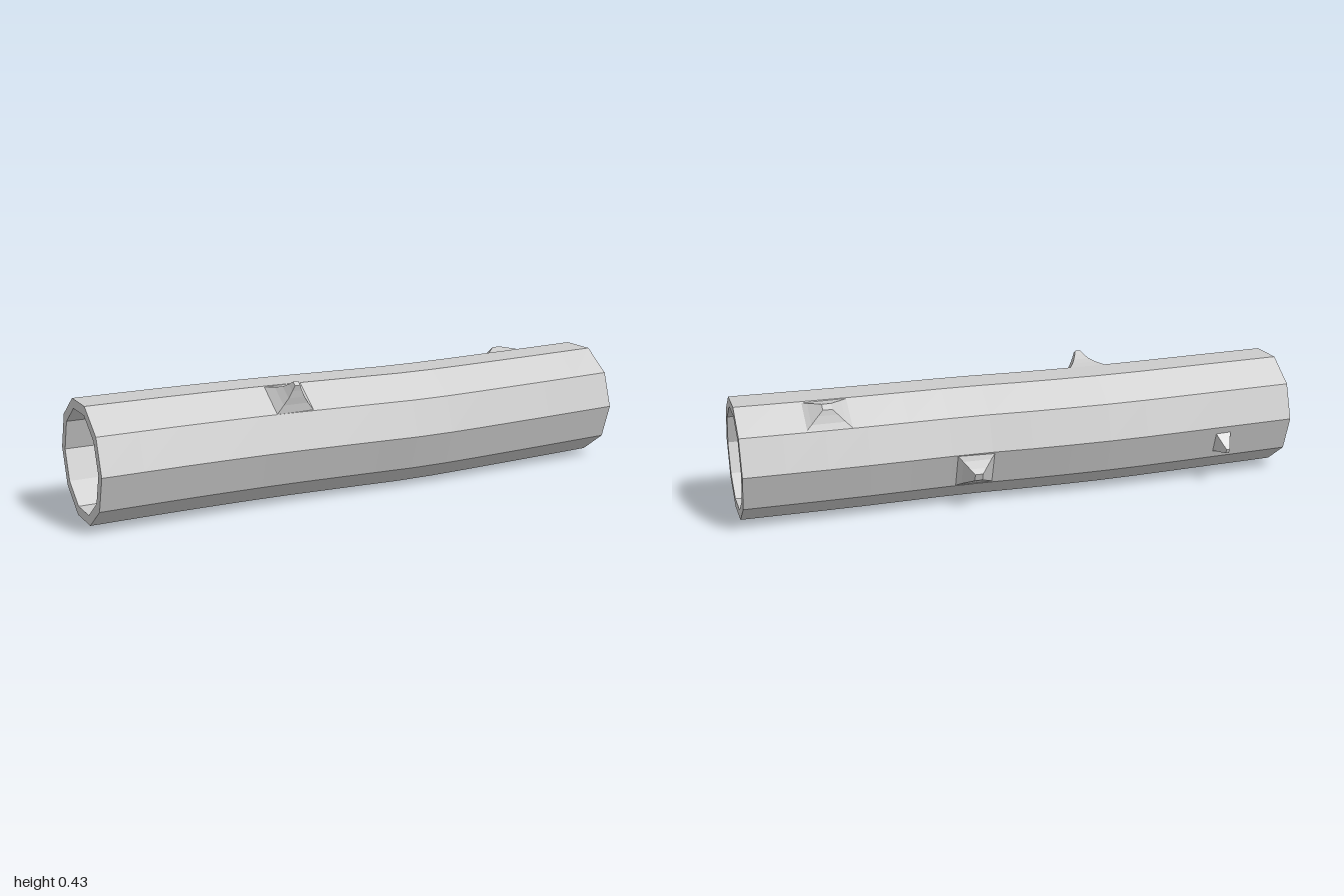
import * as THREE from 'three';

const SIDES = 10, OUTER = 0.21, INNER = 0.176;
const material = new THREE.MeshStandardMaterial({ color: 0xcccccc, flatShading: true });

// Gently wandering centreline of the log
const centreline = new THREE.CatmullRomCurve3([
  [-1, 0.21, 0.012], [-0.7, 0.208, 0.004], [-0.35, 0.204, 0], [-0.05, 0.201, 0.012],
  [0.2, 0.2, 0.027], [0.6, 0.202, 0.019], [1, 0.207, 0.012],
].map(p => new THREE.Vector3(...p)));

// Centre of the log at a given x
function centreAt(x) {
  let lo = 0, hi = 1;
  for (let i = 0; i < 30; i++) {
    const mid = (lo + hi) / 2;
    if (centreline.getPoint(mid).x < x) lo = mid; else hi = mid;
  }
  return centreline.getPoint(lo);
}

// Joins equal rings of points into a skin, optionally capping the last four-sided ring
function loft(name, rings, capEnd = false) {
  const n = rings[0].length, index = [];
  for (let i = 0; i < rings.length - 1; i++) {
    for (let j = 0; j < n; j++) {
      const a = i * n + j, b = i * n + (j + 1) % n;
      index.push(a, a + n, b + n, a, b + n, b);
    }
  }
  if (capEnd) {
    const k = (rings.length - 1) * n;
    index.push(k, k + 2, k + 1, k, k + 3, k + 2);
  }
  const geometry = new THREE.BufferGeometry().setFromPoints(rings.flat());
  geometry.setIndex(index);
  const flat = geometry.toNonIndexed();
  flat.computeVertexNormals();
  const mesh = new THREE.Mesh(flat, material);
  mesh.name = name;
  return mesh;
}

// Ten-sided ring around the centreline
function ringAt(x, radius) {
  const c = centreAt(x);
  return Array.from({ length: SIDES }, (_, j) => {
    const a = j * 2 * Math.PI / SIDES;
    return new THREE.Vector3(x, c.y + radius * Math.sin(a), c.z + radius * Math.cos(a));
  });
}

// Broken branch stub flaring out of one flat side of the log
function stub(name, { x, degrees, height, halfX, halfT, lean, profile }) {
  const a = THREE.MathUtils.degToRad(degrees);
  const normal = new THREE.Vector3(0, Math.sin(a), Math.cos(a));
  const across = new THREE.Vector3(0, Math.cos(a), -Math.sin(a));
  const base = centreAt(x).addScaledVector(normal, OUTER * Math.cos(Math.PI / SIDES) - 0.002);
  base.x = x;
  const rings = profile.map(([h, s]) =>
    [[1, 1], [1, -1], [-1, -1], [-1, 1]].map(([sx, st]) => {
      const p = base.clone()
        .addScaledVector(normal, h * height)
        .addScaledVector(across, st * s * halfT + lean * Math.min(1, h * 1.8));
      p.x += sx * s * halfX;
      return p;
    }));
  return loft(name, rings, true);
}

export function createModel() {
  const log = new THREE.Group();
  log.name = 'hollowLog';

  // Outer bark, end rims and inner wall as one closed skin
  const xs = Array.from({ length: 15 }, (_, i) => -1 + i / 7);
  log.add(loft('trunk', [
    ...xs.map(x => ringAt(x, OUTER)),
    ...[...xs].reverse().map(x => ringAt(x, INNER)),
    ringAt(-1, OUTER),
  ]));

  // Branch stubs: [height, width] fractions give the concave flare
  const flare = [[0, 1], [0.3, 0.65], [0.55, 0.42], [0.8, 0.25], [1, 0.14]];
  const low = [[0, 1], [0.3, 0.72], [0.7, 0.42], [1, 0.2]];
  log.add(
    stub('frontStub', { x: -0.3, degrees: 54, height: 0.09, halfX: 0.07, halfT: 0.065, lean: -0.012, profile: flare }),
    stub('upperBackStub', { x: 0.7, degrees: 126, height: 0.042, halfX: 0.08, halfT: 0.063, lean: -0.004, profile: low }),
    stub('lowerBackStub', { x: 0.2, degrees: 198, height: 0.047, halfX: 0.07, halfT: 0.065, lean: 0.003, profile: low }),
    stub('smallBackStub', { x: -0.73, degrees: 198, height: 0.058, halfX: 0.03, halfT: 0.04, lean: 0.003, profile: low }),
  );
  return log;
}
